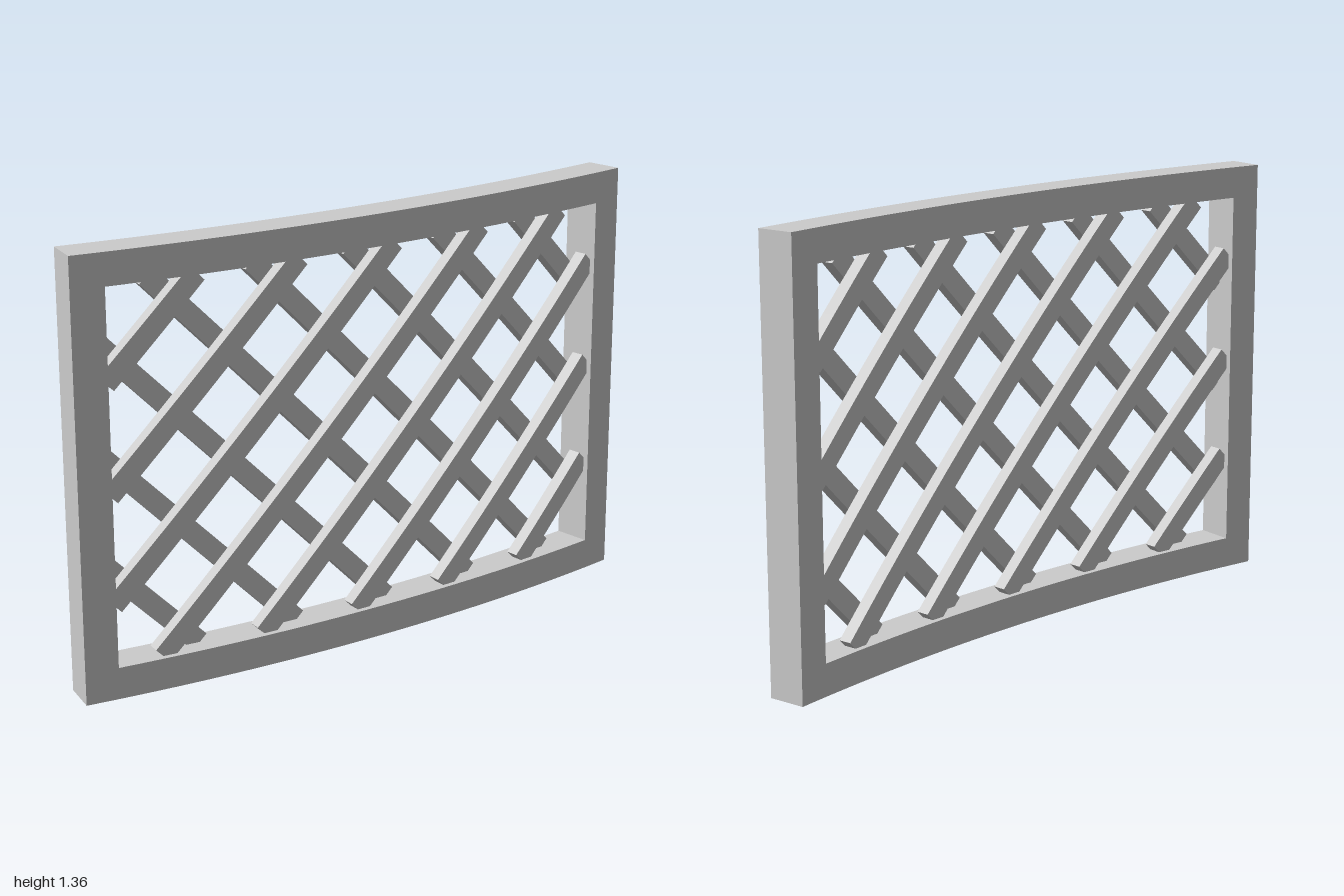
import * as THREE from 'three';

const R = 6.29;                        // radius of the curved front face
const HALF = R * Math.asin(1 / R);     // half the arc length of the panel
const H = 1.36, DEPTH = 0.12, RAIL = 0.1;
const OPEN_X = 0.9, OPEN_Y = H / 2 - RAIL;   // half size of the opening
const SLAT_W = 0.065, SLAT_T = 0.042, PITCH = 0.34;

// Wraps a flat geometry (x = arc length, z = depth from the front face) round the arc
function bend(geometry) {
  const p = geometry.attributes.position;
  for (let i = 0; i < p.count; i++) {
    const a = p.getX(i) / R, r = R + p.getZ(i);
    p.setXYZ(i, r * Math.sin(a), p.getY(i), r * Math.cos(a) - R + 0.1);
  }
  geometry.computeVertexNormals();
  return geometry;
}

export function createModel() {
  const group = new THREE.Group();
  group.name = 'curvedLatticePanel';
  const grey = new THREE.MeshStandardMaterial({ color: 0xcccccc });
  grey.name = 'light grey';

  const add = (name, geometry) => {
    const mesh = new THREE.Mesh(bend(geometry), grey);
    mesh.name = name;
    group.add(mesh);
  };

  // Frame: two curved rails and two posts
  for (const [name, y] of [['bottomRail', RAIL / 2], ['topRail', H - RAIL / 2]]) {
    add(name, new THREE.BoxGeometry(2 * HALF, RAIL, DEPTH, 40, 1, 1).translate(0, y, -DEPTH / 2));
  }
  const postW = HALF - OPEN_X;
  for (const [name, side] of [['leftPost', 1], ['rightPost', -1]]) {
    add(name, new THREE.BoxGeometry(postW, H - 2 * RAIL, DEPTH, 2, 1, 1)
      .translate(side * (OPEN_X + postW / 2), H / 2, -DEPTH / 2));
  }

  // Diagonal slats: rising layer in front, falling layer behind
  for (const [name, dir, z] of [
    ['frontSlat', 1, -DEPTH / 2 + SLAT_T / 2],
    ['backSlat', -1, -DEPTH / 2 - SLAT_T / 2],
  ]) {
    for (let i = 0; i < 8; i++) {
      // Centre line x = c + y, cut where it meets the opening
      const c = (i - 3.5) * PITCH;
      const y0 = Math.max(-OPEN_Y, -OPEN_X - c);
      const y1 = Math.min(OPEN_Y, OPEN_X - c);
      const mid = (y0 + y1) / 2;
      const length = (y1 - y0) * Math.SQRT2;
      add(name, new THREE.BoxGeometry(length, SLAT_W, SLAT_T, 16, 1, 1)
        .rotateZ(dir * Math.PI / 4)
        .translate(dir * (c + mid), H / 2 + mid, z));
    }
  }
  return group;
}
